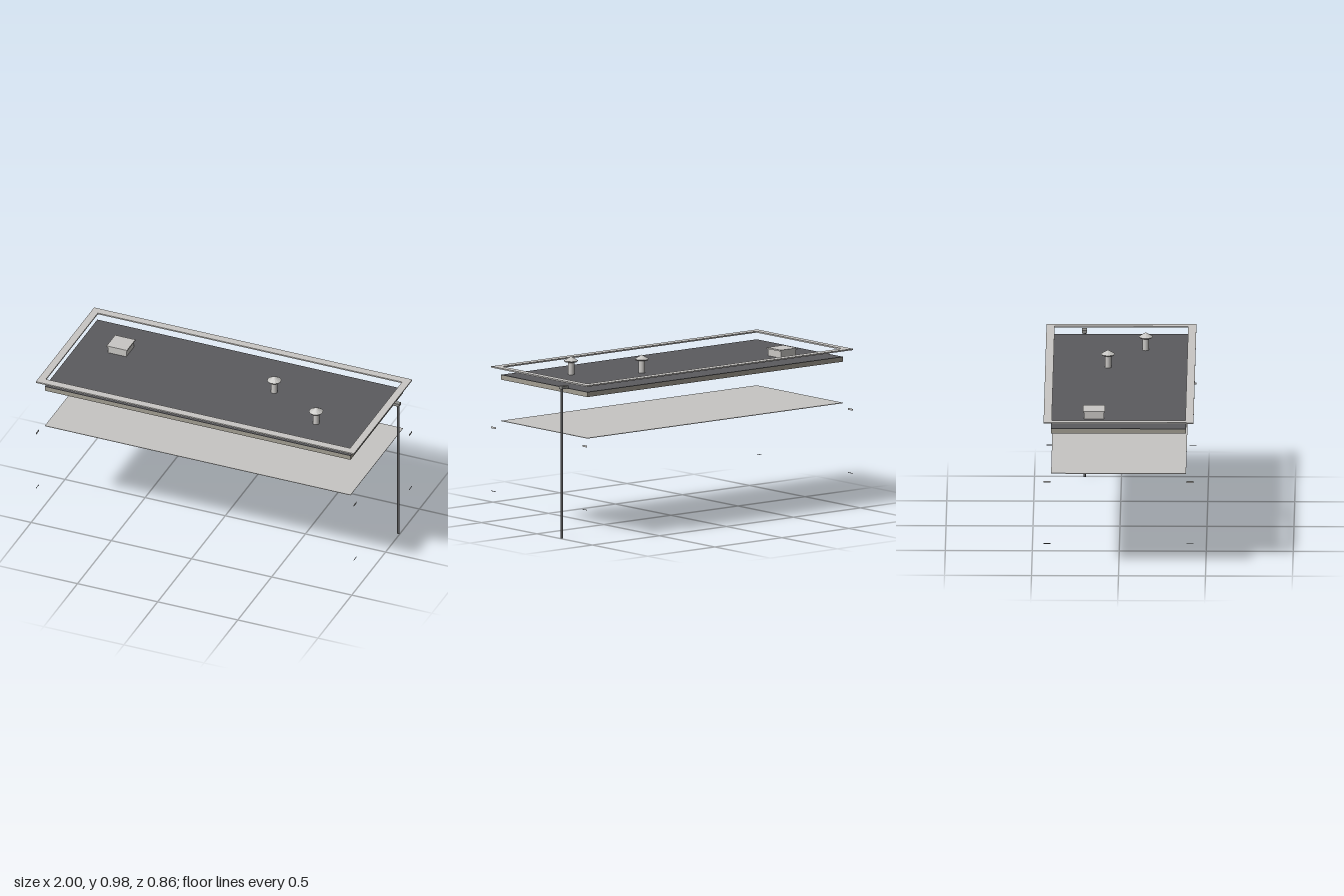
import * as THREE from 'three';

const paint = (name, color) => {
  const m = new THREE.MeshStandardMaterial({ color });
  m.name = name;
  return m;
};

export function createModel() {
  const model = new THREE.Group();
  model.name = 'roofAssembly';

  const metal = paint('pale metal', 0xc9c7c4);
  const ceilingWhite = paint('ceiling grey', 0xc6c5c3);
  const membraneGrey = paint('membrane charcoal', 0x5b5b5e);
  const slabStone = paint('slab stone', 0xa29e92);
  const pipeGrey = paint('pipe grey', 0x69696b);
  const outletGrey = paint('outlet grey', 0x8f8f8c);
  const flatMetal = paint('vent metal', 0xc4c3c0);
  flatMetal.flatShading = true;

  const add = (name, geometry, material, parent = model) => {
    const mesh = new THREE.Mesh(geometry, material);
    mesh.name = name;
    parent.add(mesh);
    return mesh;
  };
  // Box given by its lower and upper limits on each axis
  const box = (name, [x0, x1], [y0, y1], [z0, z1], material, parent) => {
    const g = new THREE.BoxGeometry(x1 - x0, y1 - y0, z1 - z0);
    g.translate((x0 + x1) / 2, (y0 + y1) / 2, (z0 + z1) / 2);
    return add(name, g, material, parent);
  };
  const cylinder = (name, rTop, rBottom, y0, y1, sides, material, parent) => {
    const g = new THREE.CylinderGeometry(rTop, rBottom, y1 - y0, sides);
    g.translate(0, (y0 + y1) / 2, 0);
    return add(name, g, material, parent);
  };

  // Roof slab, its membrane and the suspended ceiling
  const spanX = [-0.962, 0.945];
  const spanZ = [-0.388, 0.388];
  box('roofSlab', spanX, [0.842, 0.868], spanZ, slabStone);
  box('roofMembrane', spanX, [0.868, 0.871], spanZ, membraneGrey);
  box('ceiling', spanX, [0.6, 0.603], spanZ, ceilingWhite);

  // Coping: a thin rectangular ring above the roof edge
  const rectangle = (Type, x0, x1, z) => new Type([
    new THREE.Vector2(x0, -z), new THREE.Vector2(x1, -z),
    new THREE.Vector2(x1, z), new THREE.Vector2(x0, z),
  ]);
  const ring = rectangle(THREE.Shape, -1, 0.984, 0.431);
  ring.holes.push(rectangle(THREE.Path, -0.957, 0.941, 0.384));
  const coping = new THREE.ExtrudeGeometry(ring, { depth: 0.008, bevelEnabled: false });
  coping.rotateX(-Math.PI / 2);
  coping.translate(0, 0.911, 0);
  add('coping', coping, metal);

  // Roof hatch with an overhanging lid
  const hatch = new THREE.Group();
  hatch.name = 'roofHatch';
  hatch.position.set(-0.711, 0, -0.143);
  model.add(hatch);
  box('hatchBody', [-0.057, 0.057], [0.871, 0.911], [-0.057, 0.057], metal, hatch);
  box('hatchLid', [-0.063, 0.063], [0.911, 0.919], [-0.063, 0.063], metal, hatch);

  // Vents with conical rain caps
  const capProfile = [[0, 0.944], [0.036, 0.944], [0.0415, 0.951], [0, 0.976]]
    .map(([r, y]) => new THREE.Vector2(r, y));
  for (const [x, z] of [[0.276, -0.071], [0.627, 0.143]]) {
    const vent = new THREE.Group();
    vent.name = 'roofVent';
    vent.position.set(x, 0, z);
    model.add(vent);
    cylinder('ventPipe', 0.0187, 0.0187, 0.87, 0.944, 16, metal, vent);
    add('ventCap', new THREE.LatheGeometry(capProfile, 12), flatMetal, vent);
  }

  // Ceiling downlights in two staggered rows
  const lamps = [
    [-0.712, 0.297], [-0.573, -0.111], [-0.29, 0.297], [-0.007, -0.111],
    [0.276, 0.297], [0.554, -0.111], [0.698, 0.297],
  ];
  for (const [x, z] of lamps) {
    const lamp = new THREE.Group();
    lamp.name = 'downlight';
    lamp.position.set(x, 0, z);
    model.add(lamp);
    cylinder('lampTrim', 0.0245, 0.0245, 0.596, 0.6, 16, outletGrey, lamp);
    cylinder('lampLens', 0.018, 0.016, 0.592, 0.596, 16, metal, lamp);
  }

  // Small corner plates at two heights
  for (const [x0, x1] of [[-1, -0.998], [0.982, 0.984]]) {
    for (const side of [-1, 1]) {
      const z = side < 0 ? [-0.431, -0.39] : [0.39, 0.431];
      box('upperCornerPlate', [x0, x1], [0.558, 0.568], z, metal);
      box('lowerCornerPlate', [x0, x1], [0.191, 0.194], z, pipeGrey);
    }
  }

  // Downpipe and its roof outlet
  const pipe = cylinder('downpipe', 0.0068, 0.0068, 0, 0.875, 12, pipeGrey);
  pipe.position.set(0.99, 0, -0.212);
  box('roofOutlet', [0.953, 1], [0.872, 0.889], [-0.226, -0.199], outletGrey);

  return model;
}
